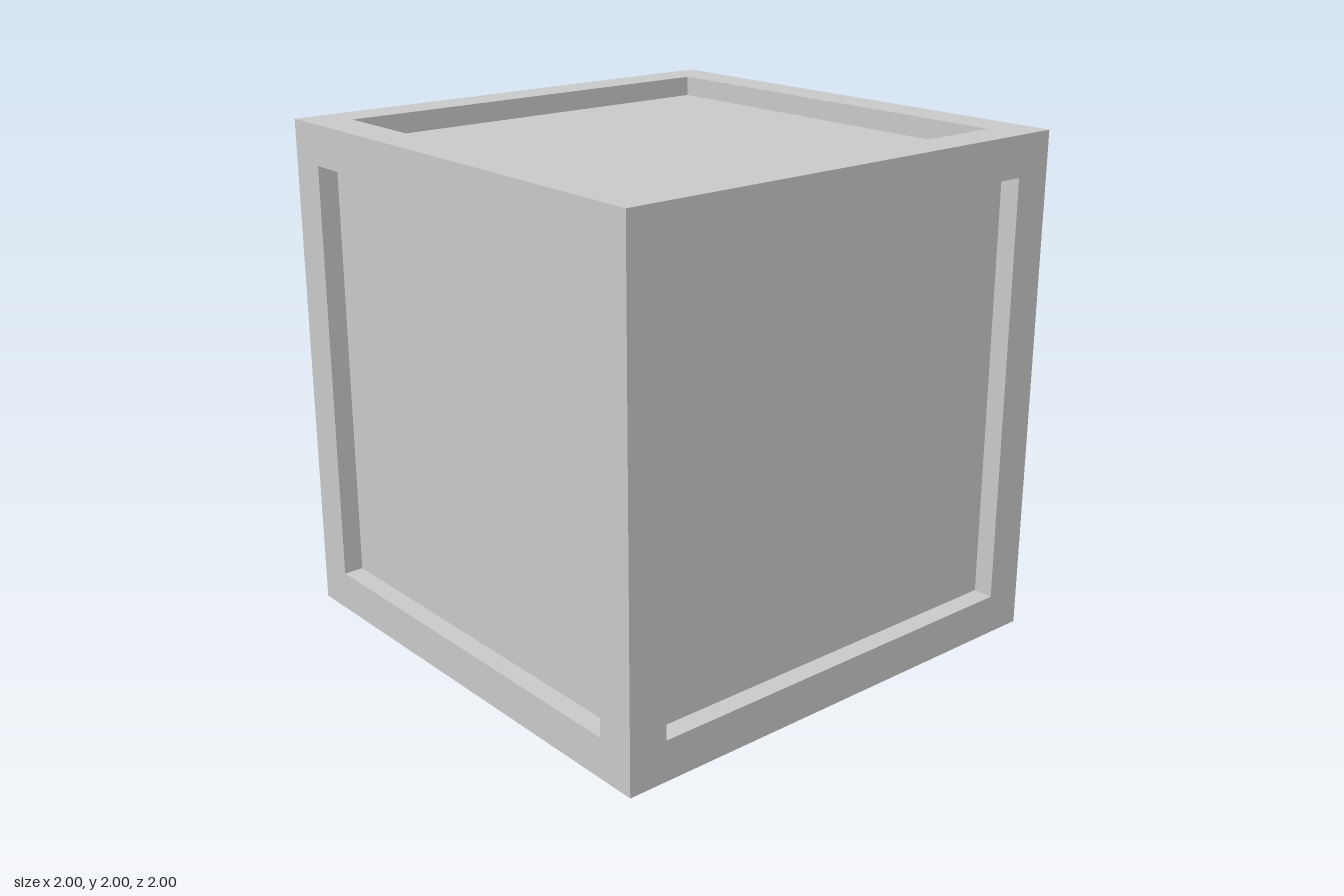
import * as THREE from 'three';

const HALF = 1;        // half the cube's edge
const OPENING = 0.842; // half the width of each recess
const FLOOR = 0.92;    // distance of each recessed panel from the centre

// Four-sided lathe: each profile point is [half width of the square, height]
function squareLathe(profile) {
  const points = profile.map(([w, y]) => new THREE.Vector2(w * Math.SQRT2, y));
  const geometry = new THREE.LatheGeometry(points, 4, Math.PI / 4).toNonIndexed();
  geometry.computeVertexNormals();
  return geometry;
}

export function createModel() {
  const model = new THREE.Group();
  model.name = 'panelledCube';
  const material = new THREE.MeshStandardMaterial({ color: 0xcccccc, flatShading: true });

  // Flat border with the walls that drop into the recess
  const frameGeometry = squareLathe([[HALF, HALF], [OPENING, HALF], [OPENING, FLOOR]]);
  // Recessed square floor
  const panelGeometry = new THREE.PlaneGeometry(2 * OPENING, 2 * OPENING)
    .rotateX(-Math.PI / 2)
    .translate(0, FLOOR, 0);

  // The same side turned to all six directions
  const q = Math.PI / 2;
  const sides = {
    top: [0, 0, 0], bottom: [2 * q, 0, 0],
    front: [q, 0, 0], back: [-q, 0, 0],
    left: [0, 0, -q], right: [0, 0, q],
  };
  for (const [name, rotation] of Object.entries(sides)) {
    const side = new THREE.Group();
    side.name = `${name}Side`;
    const frame = new THREE.Mesh(frameGeometry, material);
    frame.name = `${name}Frame`;
    const panel = new THREE.Mesh(panelGeometry, material);
    panel.name = `${name}Panel`;
    side.add(frame, panel);
    side.rotation.set(...rotation);
    side.position.y = HALF;
    model.add(side);
  }
  return model;
}
